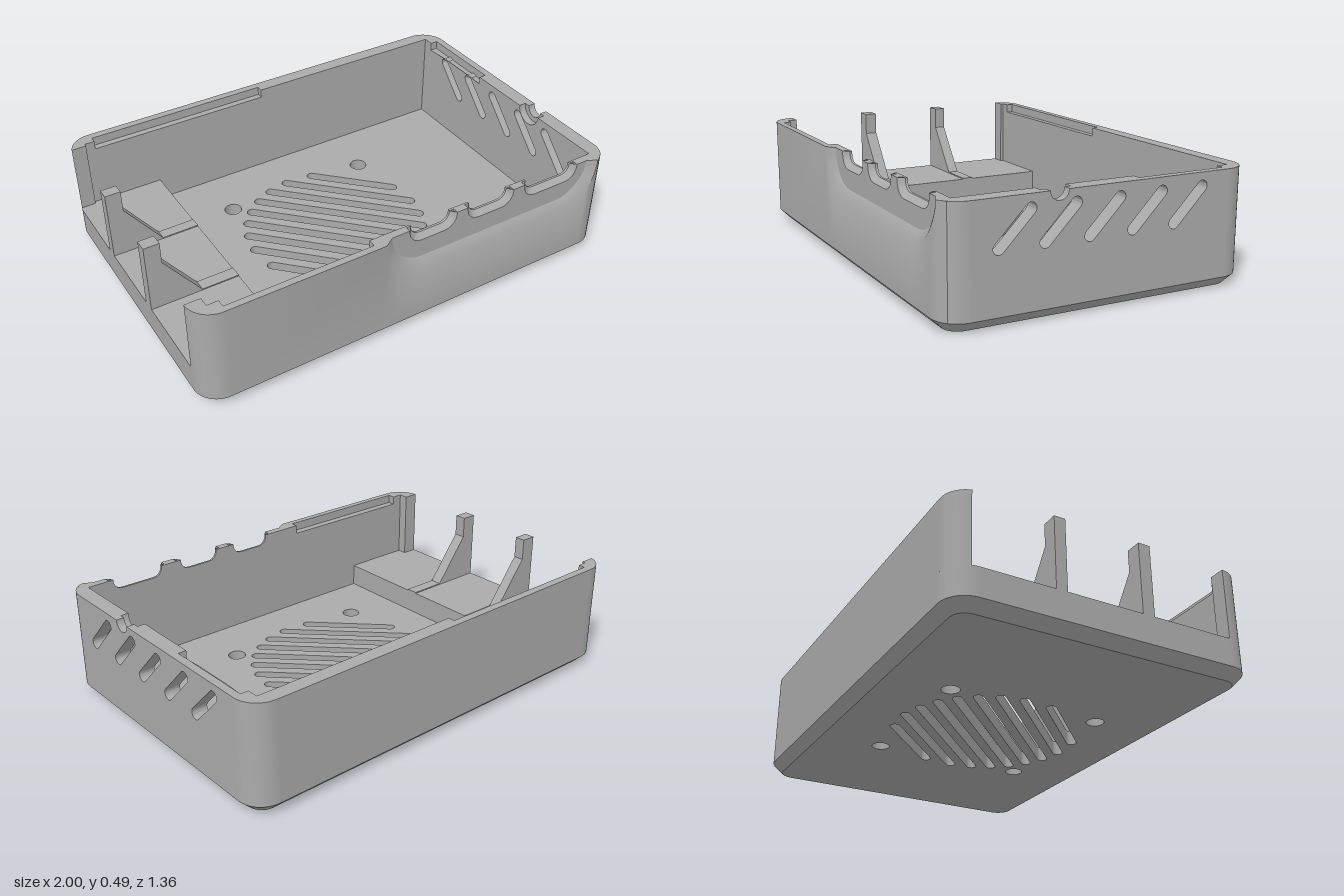
import * as THREE from 'three';
import { toCreasedNormals } from 'three/addons/utils/BufferGeometryUtils.js';

const TOP = 0.49, BASE = 0.045, FLOOR = 0.065, R = 0.11, X = 1, Z = 0.68;
const IX = 0.93, IZ = 0.615; // inner faces of the walls
const grey = new THREE.MeshStandardMaterial({ color: 0xaaaaaa, side: THREE.DoubleSide });
grey.name = 'grey plastic';

export function createModel() {
  const model = new THREE.Group();
  model.name = 'openCase';

  const add = (name, geo) => {
    const mesh = new THREE.Mesh(toCreasedNormals(geo, 0.6), grey);
    mesh.name = name;
    model.add(mesh);
    return mesh;
  };
  const toShape = (pts, holes = []) => {
    const s = new THREE.Shape(pts.map(([a, b]) => new THREE.Vector2(a, b)));
    s.holes.push(...holes);
    return s;
  };
  const extrude = (shape, depth) =>
    new THREE.ExtrudeGeometry(shape, { depth, bevelEnabled: false, curveSegments: 10 });
  // plan outline (x, z) raised from y0 to y1
  const raise = (shape, y0, y1) => extrude(shape, y1 - y0).rotateX(Math.PI / 2).translate(0, y1, 0);
  // surface through rows of points
  const loft = (rows) => {
    const pos = [];
    for (let i = 0; i < rows.length - 1; i++) {
      for (let j = 0; j < rows[i].length - 1; j++) {
        const a = rows[i][j], b = rows[i][j + 1], c = rows[i + 1][j + 1], d = rows[i + 1][j];
        pos.push(...a, ...b, ...c, ...a, ...c, ...d);
      }
    }
    const g = new THREE.BufferGeometry();
    g.setAttribute('position', new THREE.Float32BufferAttribute(pos, 3));
    g.computeVertexNormals();
    return g;
  };
  const arc = (cx, cy, r, a0, a1, n = 8) => Array.from({ length: n + 1 }, (_, i) => {
    const t = a0 + (a1 - a0) * i / n;
    return [cx + r * Math.cos(t), cy + r * Math.sin(t)];
  });
  const slot = (x1, y1, x2, y2, r) => {
    const a = Math.atan2(y2 - y1, x2 - x1), h = Math.PI / 2, p = new THREE.Path();
    p.absarc(x2, y2, r, a - h, a + h, false);
    p.absarc(x1, y1, r, a + h, a + 3 * h, false);
    return p;
  };
  // upright wall outline with cuts in its top edge, listed left to right
  const wall = (a, b, cuts = [], holes = []) =>
    toShape([[a, BASE], [a, TOP], ...cuts.flat(), [b, TOP], [b, BASE]], holes);
  const rebate = (a, b) => [[a, TOP], [a, 0.45], [b, 0.45], [b, TOP]];

  // rounded outline of the whole case, shrunk by inset
  const outline = (inset) => {
    const pts = [];
    [[1, -1], [-1, -1], [-1, 1], [1, 1]].forEach(([sx, sz], k) => {
      for (const [c, s] of arc(0, 0, R - inset, k * Math.PI / 2, (k + 1) * Math.PI / 2))
        pts.push([sx * (X - R) + c, sz * (Z - R) - s]);
    });
    return pts;
  };

  // floor with diagonal fan vents and four screw holes
  const holes = [];
  for (let k = -4; k <= 4; k++) {
    const u = k * 0.0875, h = Math.sqrt(0.405 ** 2 - u * u), q = Math.SQRT1_2;
    holes.push(slot((u - h) * q, (-u - h) * q, (u + h) * q, (-u + h) * q, 0.022));
  }
  for (const sx of [-1, 1]) for (const sz of [-1, 1]) {
    const p = new THREE.Path();
    p.absarc(sx * 0.352, sz * 0.352, 0.04, 0, Math.PI * 2, false);
    holes.push(p);
  }
  add('floor', raise(toShape(outline(BASE), holes), 0, FLOOR));

  // chamfer around the bottom
  const ring = (inset, y) => {
    const p = outline(inset);
    return [...p, p[0]].map(([x, z]) => [x, y, z]);
  };
  add('bottomChamfer', loft([ring(BASE, 0), ring(0, BASE)]));

  // corner columns: round outside, square inside
  const corner = (name, sx, sz, y0, y1, end = Z - R, clip = Z) => {
    const a0 = Math.asin((end - Z + R) / R);
    const pts = [...arc(X - R, Z - R, R, a0, Math.PI / 2, 12).map(([x, z]) => [x, Math.min(z, clip)]),
      [X - R, IZ], [IX, IZ], [IX, end]];
    add(name, raise(toShape(pts.map(([x, z]) => [x * sx, z * sz])), y0, y1));
  };
  corner('backLeftCorner', 1, -1, BASE, TOP);
  corner('frontLeftCorner', 1, 1, BASE, TOP, Z - R, 0.65);
  corner('frontRightCorner', -1, 1, BASE, TOP);
  corner('backRightCornerBase', -1, -1, BASE, 0.17);
  corner('backRightCorner', -1, -1, 0.17, TOP, 0.6);

  // back wall with a lid rebate on its inner half
  const E = X - R;
  add('backWallOuter', extrude(wall(-E, E), 0.035).translate(0, 0, -Z));
  add('backWallInner', extrude(wall(-E, E, [rebate(-0.885, -0.04)]), 0.03).translate(0, 0, -0.645));

  // front wall with three bevelled port notches
  const notch = (a, b, y, r) => [[a, TOP], ...arc(a + r, y + r, r, Math.PI, 1.5 * Math.PI, 5),
    ...arc(b - r, y + r, r, 1.5 * Math.PI, 2 * Math.PI, 5), [b, TOP]];
  const ports = [[-0.05, 0.185], [0.24, 0.48], [0.54, 0.83]];
  const wide = ports.map(([a, b]) => notch(a, b, 0.42, 0.06));
  const narrow = ports.map(([a, b]) => notch(a + 0.022, b - 0.022, 0.442, 0.042));
  const lidCut = rebate(-0.88, -0.22);
  add('frontWallInner', extrude(wall(-E, E, [lidCut, ...narrow]), 0.01).translate(0, 0, IZ));
  add('frontWallMiddle', extrude(wall(-E, E, [lidCut, ...wide]), 0.025).translate(0, 0, 0.625));
  wide.forEach((w, i) => add('portBevel', loft([
    w.map(([x, y]) => [x, y, 0.65]), narrow[i].map(([x, y]) => [x, y, 0.625])])));

  // front outer skin with the bevelled recess around the ports
  const faceZ = (x) => (x <= E ? Z : Z - R + Math.sqrt(Math.max(0, R * R - (x - E) ** 2)));
  const recess = (r) => [...arc(0.02, TOP, r, Math.PI, 1.5 * Math.PI, 10),
    ...arc(0.73, TOP, r, 1.5 * Math.PI, 2 * Math.PI, 10)];
  const ends = [[0.93, TOP], [0.945, TOP], [0.9655, TOP]];
  const outer = [[-E, TOP], [-0.18, TOP], ...recess(0.2), ...ends];
  const inner = [[-E, TOP], [-0.18, TOP], ...recess(0.155), ...ends];
  add('frontSkin', loft([
    outer.map(([x]) => [x, BASE, faceZ(x)]),
    outer.map(([x, y]) => [x, y, faceZ(x)]),
    inner.map(([x, y]) => [x, y, 0.65]),
    inner.map(([x]) => [x, BASE, 0.65])]));

  // left wall: slanted vents, round cable notch, lid rebate (outline runs along -z)
  const vents = () => [0, 1, 2, 3, 4].map((i) => {
    const s = -0.46 + i * 0.192;
    return slot(s, 0.302, s + 0.13, 0.434, 0.024);
  });
  const W = Z - R;
  const cable = (r) => arc(-0.21, TOP, r, Math.PI, 2 * Math.PI, 12);
  const side = (cuts, x0, x1) =>
    extrude(wall(-W, W, cuts, vents()), x1 - x0).rotateY(Math.PI / 2).translate(x0, 0, 0);
  add('leftWallOuter', side([cable(0.04)], 0.965, X));
  add('leftWallInner', side([cable(0.065), rebate(0.16, 0.565)], IX, 0.965));

  // raised connector platform at the open right end
  const box = (name, x0, x1, y0, y1, z0, z1) => add(name,
    new THREE.BoxGeometry(x1 - x0, y1 - y0, z1 - z0).translate((x0 + x1) / 2, (y0 + y1) / 2, (z0 + z1) / 2));
  box('sill', -X, -IX, BASE, 0.17, -W, W);
  box('platform', -IX, -0.6, BASE, 0.17, -IZ, IZ);

  // two ribs with posts between the connector bays
  for (const [z0, z1] of [[-0.25, -0.2], [0.143, 0.198]]) {
    const rib = toShape([[-X, 0.1], [-0.6, 0.1], [-0.6, 0.175], [-0.77, 0.175], [-IX, 0.39], [-IX, TOP], [-X, TOP]]);
    add('connectorRib', extrude(rib, z1 - z0).translate(0, 0, z0));
  }
  return model;
}
